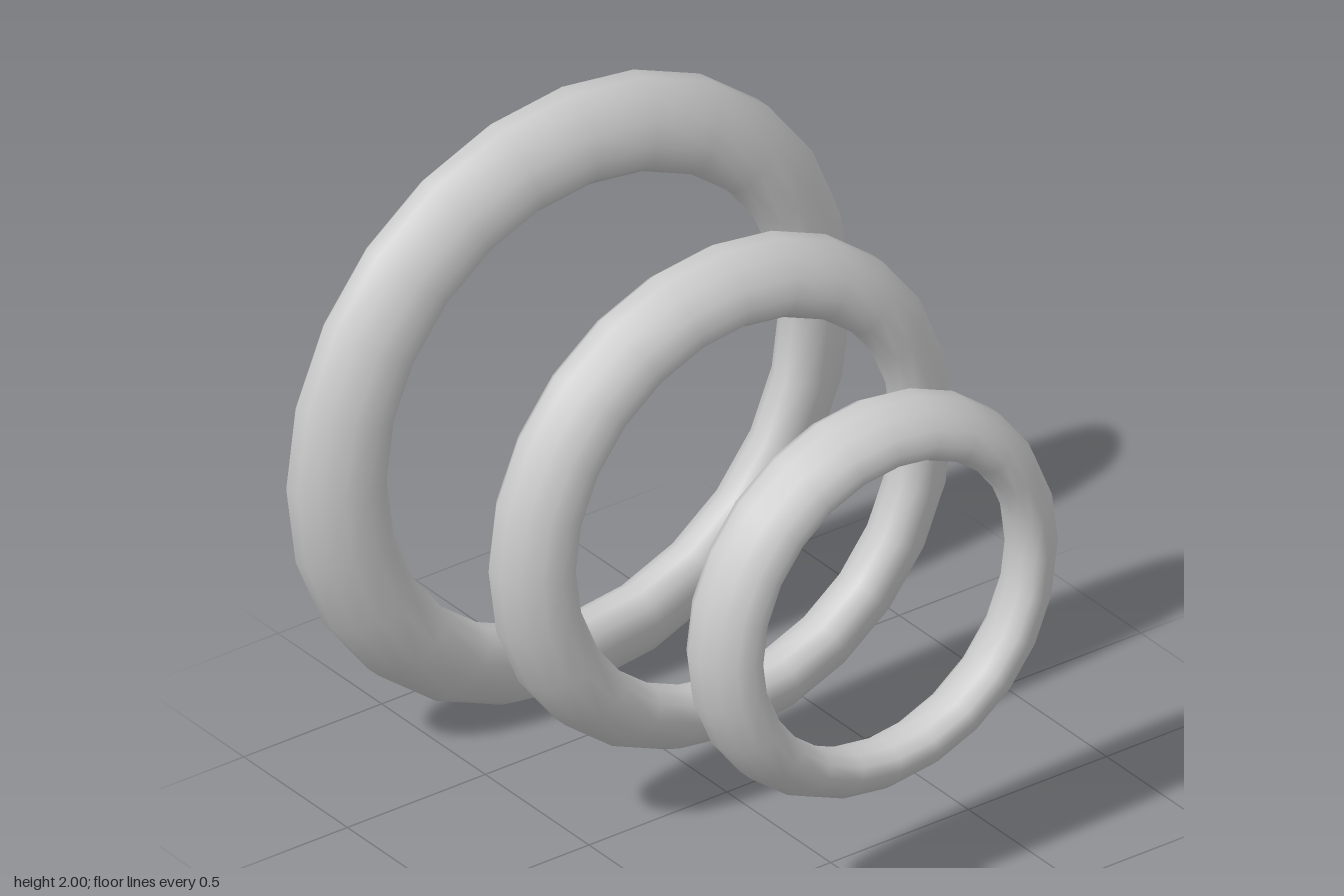
import * as THREE from 'three';
import { mergeVertices } from 'three/addons/utils/BufferGeometryUtils.js';

const TUBE_SIDES = 12;
const RING_SEGMENTS = 24;

// Ring around the z axis with a slanted oval section; outer radius is 1
function ringGeometry() {
  const centre = 0.8676, halfWidth = 0.137, halfDepth = 0.1125, slant = -0.367;
  const profile = [];
  for (let i = 0; i <= TUBE_SIDES; i++) {
    const t = ((i % TUBE_SIDES) + 0.5) / TUBE_SIDES * Math.PI * 2;
    profile.push(new THREE.Vector2(
      centre + halfWidth * Math.cos(t),
      halfDepth * Math.sin(t + slant)
    ));
  }
  const lathe = new THREE.LatheGeometry(profile, RING_SEGMENTS);
  lathe.rotateX(Math.PI / 2);
  // Weld the seams so the shading is smooth all round
  lathe.deleteAttribute('uv');
  lathe.deleteAttribute('normal');
  const geometry = mergeVertices(lathe, 1e-4);
  geometry.computeVertexNormals();
  return geometry;
}

export function createModel() {
  const group = new THREE.Group();
  group.name = 'ringSet';
  const material = new THREE.MeshStandardMaterial({ color: 0xcccccc });
  const geometry = ringGeometry();

  // Three rings of equal depth, shrinking towards the front
  const rings = [
    { name: 'largeBackRing', radius: 1, z: -0.729 },
    { name: 'middleRing', radius: 0.814, z: 0 },
    { name: 'smallFrontRing', radius: 0.64, z: 0.729 },
  ];
  for (const { name, radius, z } of rings) {
    const ring = new THREE.Mesh(geometry, material);
    ring.name = name;
    ring.scale.set(radius, radius, 1);
    ring.position.set(0, 1, z);
    group.add(ring);
  }
  return group;
}
